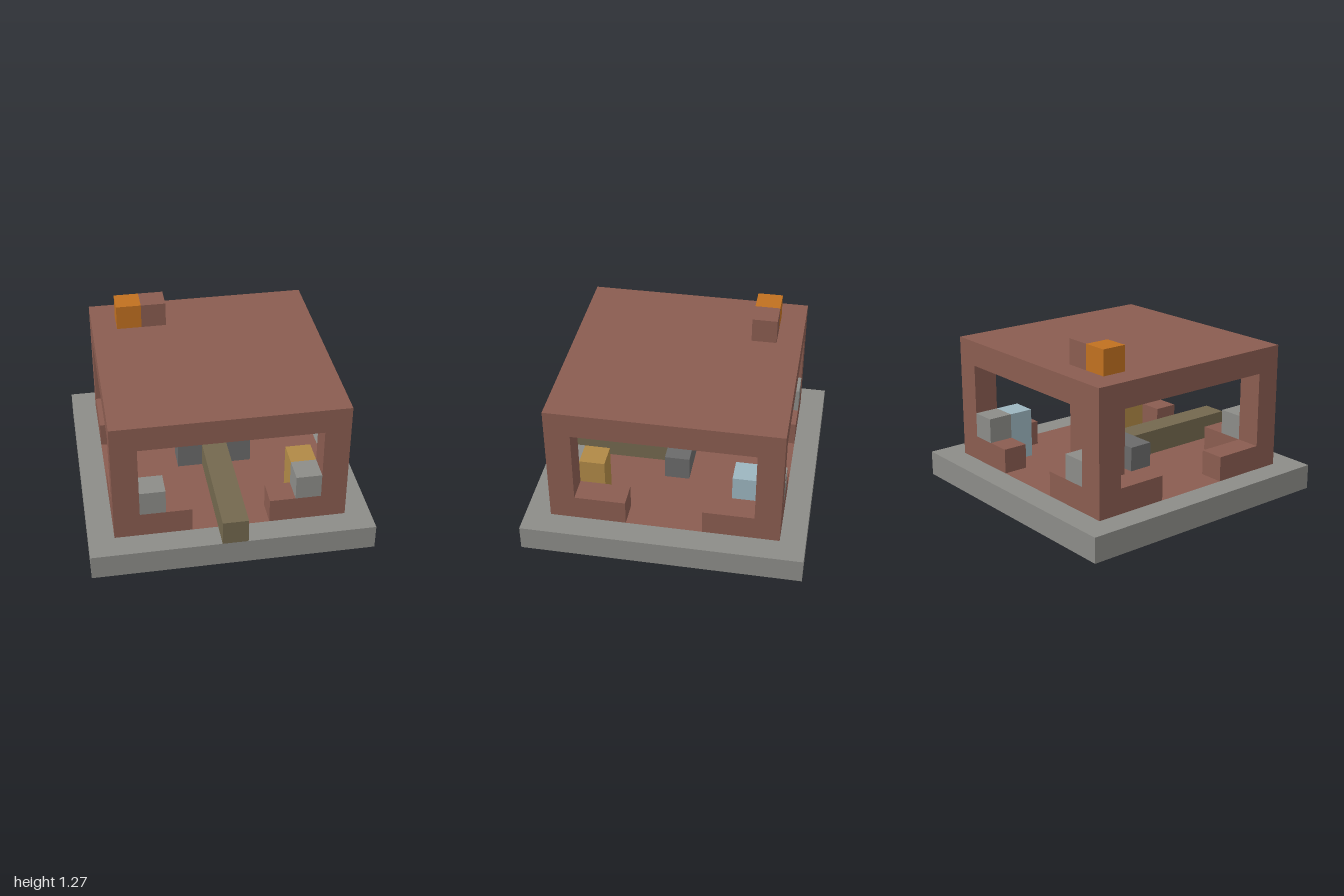
import * as THREE from 'three';

const U = 2 / 11; // one building block

const paint = (name, color) => {
  const m = new THREE.MeshStandardMaterial({ color });
  m.name = name;
  return m;
};

export function createModel() {
  const stone = paint('stone grey', 0x8c8c88);
  const brick = paint('brick brown', 0x8a5c50);
  const slate = paint('dark grey', 0x6a6a6a);
  const olive = paint('olive brown', 0x73684e);
  const tan = paint('tan', 0xb08946);
  const orange = paint('orange', 0xc07020);
  const blue = paint('pale blue', 0x9cb5bf);

  const model = new THREE.Group();
  model.name = 'blockHouse';

  // Box covering whole blocks, from the first to the last index on each axis
  const block = (name, material, [x0, x1], [y0, y1], [z0, z1]) => {
    const geo = new THREE.BoxGeometry((x1 - x0 + 1) * U, (y1 - y0 + 1) * U, (z1 - z0 + 1) * U);
    const mesh = new THREE.Mesh(geo, material);
    mesh.name = name;
    mesh.position.set((x0 + x1) / 2 * U, (y0 + y1 + 1) / 2 * U, (z0 + z1) / 2 * U);
    model.add(mesh);
  };

  // Ground: stone border around the brick floor
  block('floor', brick, [-4, 4], [0, 0], [-4, 4]);
  for (const s of [-5, 5]) {
    block('stoneBorder', stone, [-5, 5], [0, 0], [s, s]);
    block('stoneBorder', stone, [s, s], [0, 0], [-4, 4]);
  }

  // Corners: post, low walls either side of the doorways, stone sill blocks
  for (const sx of [-1, 1]) {
    for (const sz of [-1, 1]) {
      const span = (s, a, b) => (s > 0 ? [a, b] : [-b, -a]);
      block('cornerPost', brick, span(sx, 4, 4), [1, 4], span(sz, 4, 4));
      block('lowWall', brick, span(sx, 2, 3), [1, 1], span(sz, 4, 4));
      block('lowWall', brick, span(sx, 4, 4), [1, 1], span(sz, 2, 3));
      block('sillBlock', stone, span(sx, 3, 3), [2, 2], span(sz, 4, 4));
    }
  }

  // Roof
  block('roof', brick, [-4, 4], [5, 5], [-4, 4]);

  // Chimney, with an orange block on top
  block('chimneyBreast', brick, [-3, -2], [1, 4], [-3, -3]);
  block('chimneyTop', brick, [-2, -2], [6, 6], [-3, -3]);
  block('chimneyFire', orange, [-3, -3], [6, 6], [-3, -3]);

  // Inside and entrance
  block('table', slate, [-1, 1], [1, 1], [0, 0]);
  block('entranceBeam', olive, [0, 0], [1, 1], [1, 5]);
  block('hangingLamp', tan, [0, 0], [4, 4], [0, 0]);
  block('blueCabinet', blue, [3, 3], [1, 2], [-3, -3]);
  block('tanCabinet', tan, [3, 3], [1, 2], [3, 3]);

  return model;
}
